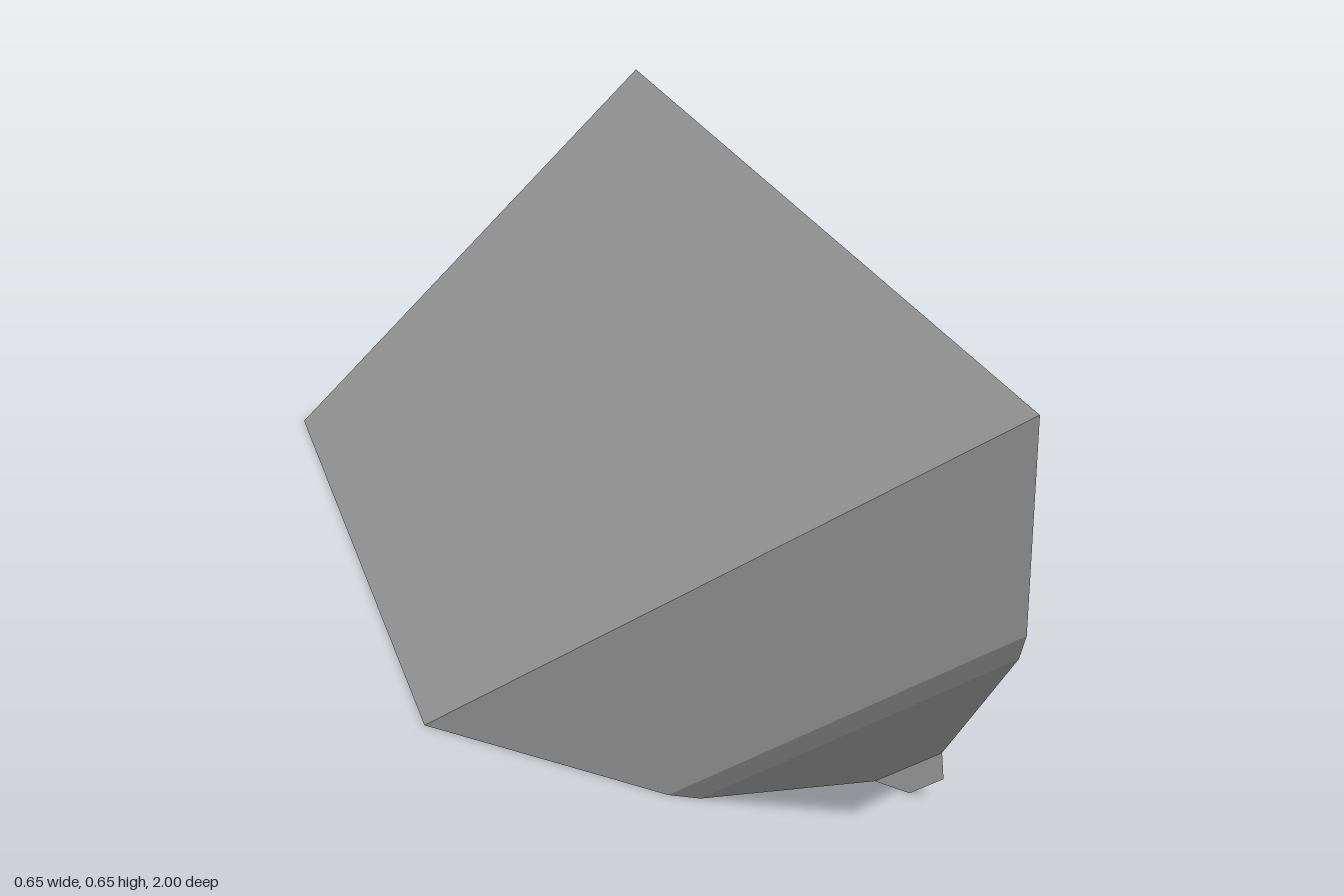
import * as THREE from 'three';

// Triangular beam: a bevelled 45-degree section with a mitred, notched front end.
export function createModel() {
  const grey = new THREE.MeshStandardMaterial({ color: 0xb2b2b2 });
  grey.name = 'plain grey';

  const half = 0.325;
  const back = -1;
  // Front-end profile: [x - y, z where it meets the upright wall]
  const profile = [[-0.325, 1], [-0.035, 1], [0.005, 0.98], [0.255, 0.735], [0.29, 0.745]];

  // Each profile point runs diagonally from the wall down to the floor
  const rows = profile.map(([u, z]) => {
    const wall = [half, half - u, z];
    const floor = [u, 0, z - half + u];
    return {
      wall, floor,
      wallBack: [wall[0], wall[1], back],
      floorBack: [floor[0], floor[1], back],
    };
  });

  const group = new THREE.Group();
  group.name = 'mitredBeam';

  // Flat-sided part made from a list of quads
  function addPart(name, quads) {
    const positions = quads.flatMap(([a, b, c, d]) => [a, b, c, a, c, d]).flat();
    const geometry = new THREE.BufferGeometry();
    geometry.setAttribute('position', new THREE.Float32BufferAttribute(positions, 3));
    geometry.computeVertexNormals();
    const mesh = new THREE.Mesh(geometry, grey);
    mesh.name = name;
    group.add(mesh);
  }

  const strips = (make) => rows.slice(1).map((next, i) => make(rows[i], next));
  const first = rows[0];
  const last = rows[rows.length - 1];

  addPart('mitredFrontEnd', strips((p, q) => [p.wall, p.floor, q.floor, q.wall]));
  addPart('backEnd', strips((p, q) => [p.wallBack, q.wallBack, q.floorBack, p.floorBack]));
  addPart('uprightWall', strips((p, q) => [p.wall, q.wall, q.wallBack, p.wallBack]));
  addPart('underside', strips((p, q) => [p.floor, p.floorBack, q.floorBack, q.floor]));
  addPart('slopingTop', [[first.wall, first.wallBack, first.floorBack, first.floor]]);
  addPart('cornerChamfer', [[last.wall, last.floor, last.floorBack, last.wallBack]]);

  return group;
}
